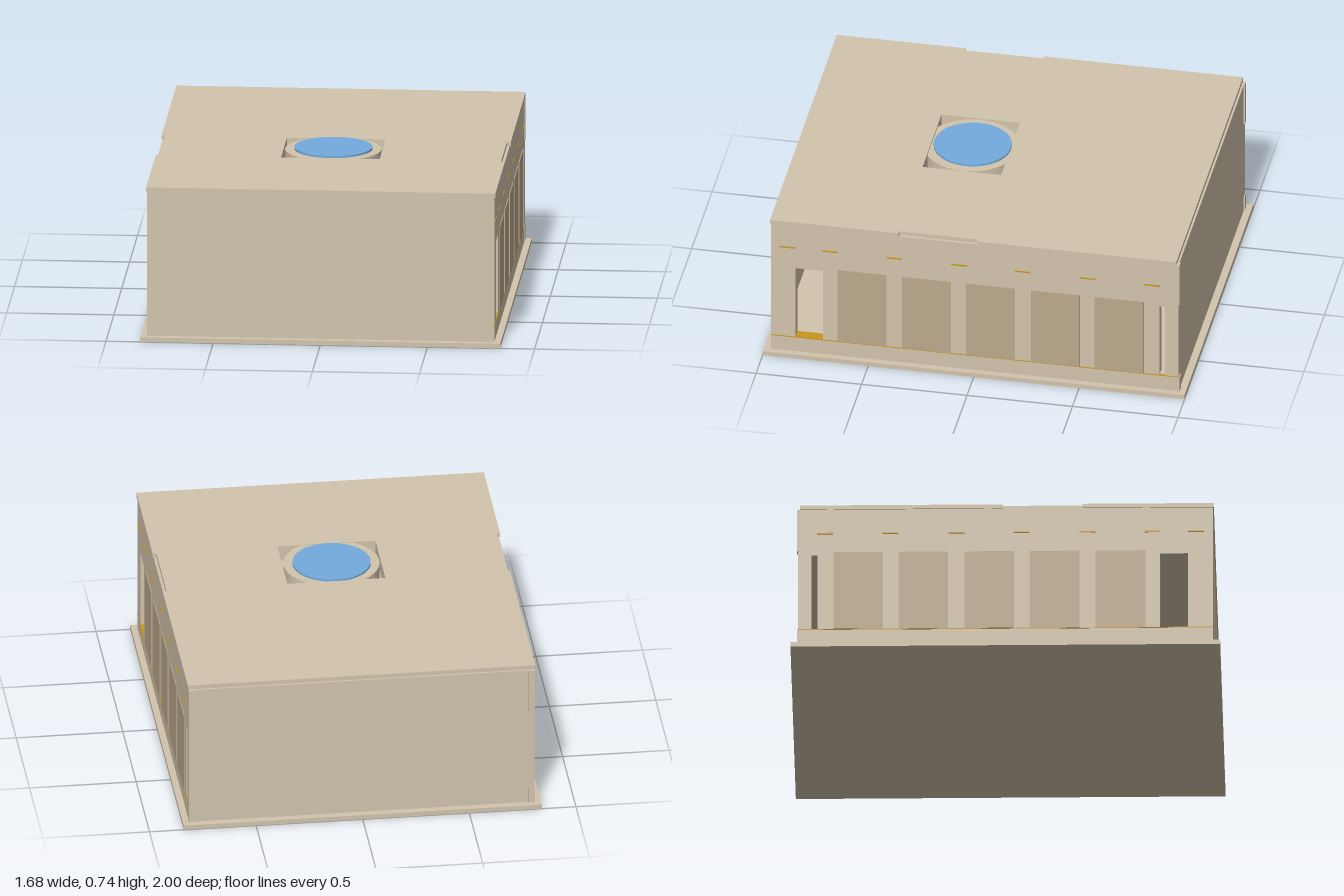
import * as THREE from 'three';

const mat = (color) => new THREE.MeshStandardMaterial({ color, roughness: 1 });

export function createModel() {
  const group = new THREE.Group();
  const stone = mat(0xd2c4ad), panel = mat(0xbca98c), gold = mat(0xc8961e), blue = mat(0x74abdd);

  const add = (name, geometry, material) => {
    const mesh = new THREE.Mesh(geometry, material);
    mesh.name = name;
    group.add(mesh);
    return mesh;
  };
  // Box given by its minimum and maximum corners
  const box = (name, x0, x1, y0, y1, z0, z1, material = stone) =>
    add(name, new THREE.BoxGeometry(x1 - x0, y1 - y0, z1 - z0), material)
      .position.set((x0 + x1) / 2, (y0 + y1) / 2, (z0 + z1) / 2);
  const poly = (points, Type = THREE.Shape) => new Type(points.map(([x, y]) => new THREE.Vector2(x, y)));
  const rect = (x0, x1, y0, y1, Type) => poly([[x0, y0], [x1, y0], [x1, y1], [x0, y1]], Type);
  const extrude = (shape, depth) =>
    new THREE.ExtrudeGeometry(shape, { depth, bevelEnabled: false, curveSegments: 24 });
  // Flat slab, drawn in x and -z
  const slab = (name, shape, y, height) => {
    const mesh = add(name, extrude(shape, height).rotateX(-Math.PI / 2), stone);
    mesh.position.y = y;
    return mesh;
  };

  // Plinth, floor, front and back walls
  box('plinth', -0.84, 0.84, 0, 0.022, -1, 1);
  box('floor', -0.76, 0.76, 0.022, 0.1, -0.92, 0.92);
  box('frontWall', -0.81, 0.81, 0.022, 0.715, 0.92, 0.966);
  box('backWall', -0.81, 0.81, 0.022, 0.715, -0.966, -0.92);

  // Side walls with a doorway and a narrow slit, drawn in -z and y
  const wall = rect(-0.92, 0.92, 0.022, 0.715);
  wall.holes.push(rect(-0.85, -0.72, 0.1, 0.48, THREE.Path), rect(0.875, 0.902, 0.1, 0.48, THREE.Path));
  const wallGeometry = extrude(wall, 0.05).rotateY(Math.PI / 2);
  const windows = [0.535, 0.228, -0.075, -0.382, -0.685];
  const pilasters = [0.888, 0.685, 0.382, 0.075, -0.228, -0.535, -0.84];
  for (const side of [1, -1]) {
    add('sideWall', wallGeometry, stone).position.x = side > 0 ? 0.76 : -0.81;
    const strip = (name, x0, x1, y0, y1, z0, z1, material) =>
      box(name, Math.min(side * x0, side * x1), Math.max(side * x0, side * x1), y0, y1, z0, z1, material);
    for (const z of windows) strip('windowPanel', 0.8, 0.814, 0.102, 0.495, z - 0.116, z + 0.116, panel);
    for (const z of pilasters) strip('pilasterCap', 0.8, 0.814, 0.589, 0.595, z - 0.037, z + 0.037, gold);
    strip('sillLine', 0.8, 0.812, 0.098, 0.102, -0.966, 0.966, gold);
    strip('doorSill', 0.76, 0.811, 0.098, 0.102, 0.72, 0.85, gold);
    // Ends of the side walls, standing slightly behind the back wall
    strip('upperCorner', 0.78, 0.812, 0.5, 0.715, -0.971, -0.96);
    strip('lowerCorner', 0.78, 0.812, 0.022, 0.1, -0.971, -0.96);
  }

  // Roof with a notch in each long edge and a skylight well
  const n0 = -0.36, n1 = 0.012, edge = 0.815, inner = 0.797;
  const roof = poly([
    [-edge, -0.97], [edge, -0.97], [edge, n0], [inner, n0], [inner, n1], [edge, n1], [edge, 0.956],
    [-edge, 0.956], [-edge, n1], [-inner, n1], [-inner, n0], [-edge, n0],
  ]);
  const ceiling = rect(-0.76, 0.76, -0.92, 0.92);
  for (const shape of [roof, ceiling]) shape.holes.push(rect(-0.23, 0.23, n0, n1, THREE.Path));
  slab('roof', roof, 0.715, 0.02);
  slab('ceiling', ceiling, 0.66, 0.055);
  box('skylightWellFloor', -0.25, 0.25, 0.64, 0.66, -0.03, 0.38);

  // Round skylight on a drum trimmed flat at front and back
  const a = 0.98, drum = new THREE.Shape();
  drum.absarc(0, 0, 0.224, -a, a, false);
  drum.absarc(0, 0, 0.224, Math.PI - a, Math.PI + a, false);
  slab('skylightDrum', drum, 0.66, 0.073).position.z = 0.172;
  add('skylight', new THREE.CylinderGeometry(0.182, 0.182, 0.014, 48), blue).position.set(0, 0.736, 0.167);

  return group;
}
